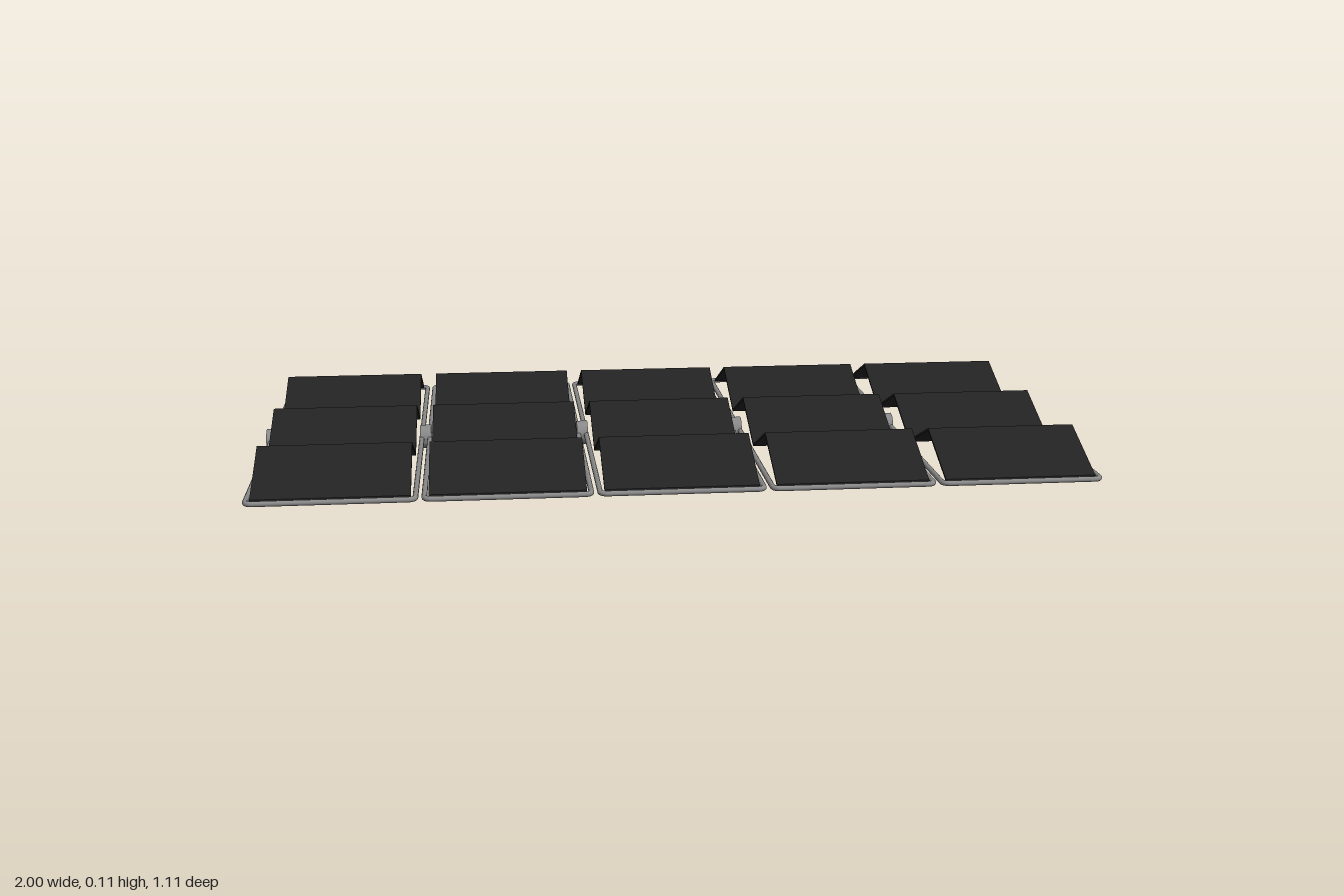
import * as THREE from 'three';

const metal = new THREE.MeshStandardMaterial({ color: 0x888888 });
const dark = new THREE.MeshStandardMaterial({ color: 0x222222, flatShading: true });

const PITCH = 0.4, AXIS_Y = 0.03;
const HALF_X = 0.19, HALF_Z = 0.548, TUBE = 0.0065, CORNER = 0.016;

function add(parent, name, geometry, material, x = 0, y = 0, z = 0) {
  const mesh = new THREE.Mesh(geometry, material);
  mesh.name = name;
  mesh.position.set(x, y, z);
  parent.add(mesh);
  return mesh;
}

// Pleated sheet: a thin zigzag outline extruded across the panel
function pleatGeometry() {
  const half = 0.18, thick = 0.006, step = 0.1785;
  const line = [];
  for (let i = -3; i <= 3; i++) line.push([i * step, i % 2 ? 0.033 : 0.11]);
  // peaks fall at the centre and two steps away, valleys between and at the ends
  const outline = [
    ...line.map(([z, y]) => new THREE.Vector2(z, y + thick / 2)),
    ...line.reverse().map(([z, y]) => new THREE.Vector2(z, y - thick / 2)),
  ];
  const geo = new THREE.ExtrudeGeometry(new THREE.Shape(outline), { depth: half * 2, bevelEnabled: false });
  return geo.translate(0, 0, -half).rotateY(Math.PI / 2);
}

// Tubular frame with rounded corners
function makeFrame() {
  const frame = new THREE.Group();
  frame.name = 'frame';
  const sideRail = new THREE.CylinderGeometry(TUBE, TUBE, 2 * (HALF_Z - CORNER), 12, 1, true).rotateX(Math.PI / 2);
  const endRail = new THREE.CylinderGeometry(TUBE, TUBE, 2 * (HALF_X - CORNER), 12, 1, true).rotateZ(Math.PI / 2);
  for (const s of [-1, 1]) {
    add(frame, 'sideRail', sideRail, metal, s * HALF_X);
    add(frame, 'endRail', endRail, metal, 0, 0, s * HALF_Z);
  }
  const bend = new THREE.TorusGeometry(CORNER, TUBE, 12, 6, Math.PI / 2).rotateX(Math.PI / 2);
  [[1, 1], [1, -1], [-1, -1], [-1, 1]].forEach(([sx, sz], i) => {
    const corner = add(frame, 'frameCorner', bend, metal, sx * (HALF_X - CORNER), 0, sz * (HALF_Z - CORNER));
    corner.rotation.y = i * Math.PI / 2;
  });
  frame.position.y = AXIS_Y;
  return frame;
}

export function createModel() {
  const model = new THREE.Group();
  model.name = 'pleatedPanelArray';
  const pleat = pleatGeometry();
  const hub = new THREE.CylinderGeometry(0.03, 0.03, 0.014, 32).rotateZ(Math.PI / 2);

  for (let i = -2; i <= 2; i++) {
    const panel = new THREE.Group();
    panel.name = 'panel';
    panel.position.x = i * PITCH;
    panel.add(makeFrame());
    add(panel, 'pleatedSheet', pleat, dark);
    // Pivot discs at the middle of both side rails
    for (const s of [-1, 1]) add(panel, 'pivotDisc', hub, metal, s * 0.193, AXIS_Y);
    model.add(panel);
  }
  return model;
}
